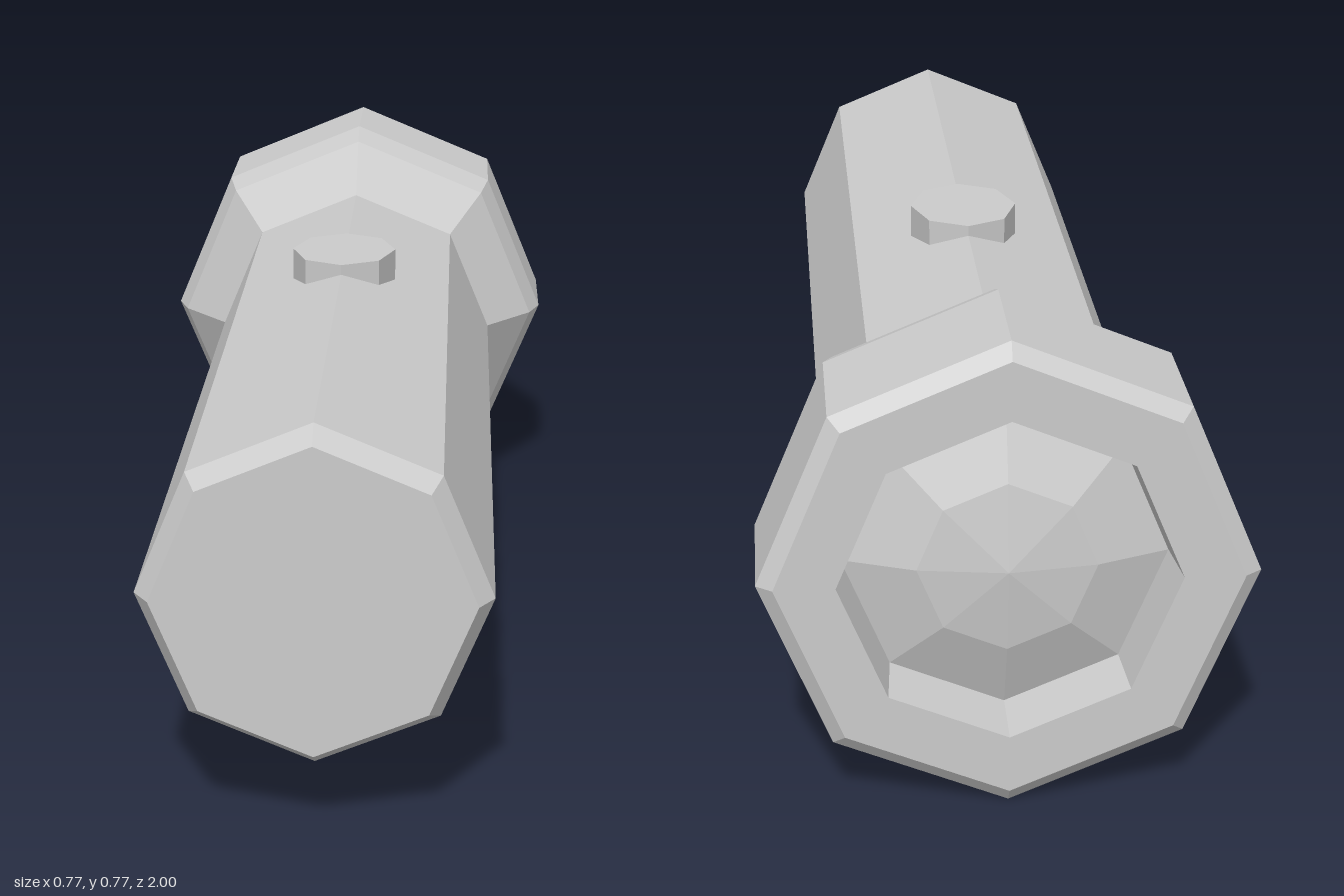
import * as THREE from 'three';

const SIDES = 8;
const AXIS_Y = 0.387;

export function createModel() {
  const group = new THREE.Group();
  const material = new THREE.MeshStandardMaterial({ color: 0xcccccc, flatShading: true });

  // Octagonal part turned about the z axis; profile is [radius, z] with z running back to front
  function turned(name, profile) {
    const points = profile.map(([r, z]) => new THREE.Vector2(r, z));
    const geometry = new THREE.LatheGeometry(points, SIDES);
    geometry.rotateX(Math.PI / 2);
    geometry.translate(0, AXIS_Y, 0);
    const mesh = new THREE.Mesh(geometry, material);
    mesh.name = name;
    group.add(mesh);
  }

  // Head with recessed rim, flaring down into the handle with a bevelled end cap
  turned('casing', [
    [0.255, -0.9], [0.265, -1], [0.36, -1], [0.386, -0.98], [0.386, -0.76],
    [0.365, -0.7], [0.275, -0.59], [0.275, 0.96], [0.25, 1], [0, 1],
  ]);

  // Shallow faceted dome inside the rim
  turned('lens', [[0, -0.965], [0.14, -0.945], [0.255, -0.9]]);

  // Oval push button on top of the handle
  const button = new THREE.Mesh(new THREE.CylinderGeometry(1, 1, 0.1, SIDES), material);
  button.name = 'button';
  button.scale.set(0.095, 1, 0.124);
  button.position.set(0, 0.63, -0.05);
  group.add(button);

  return group;
}
